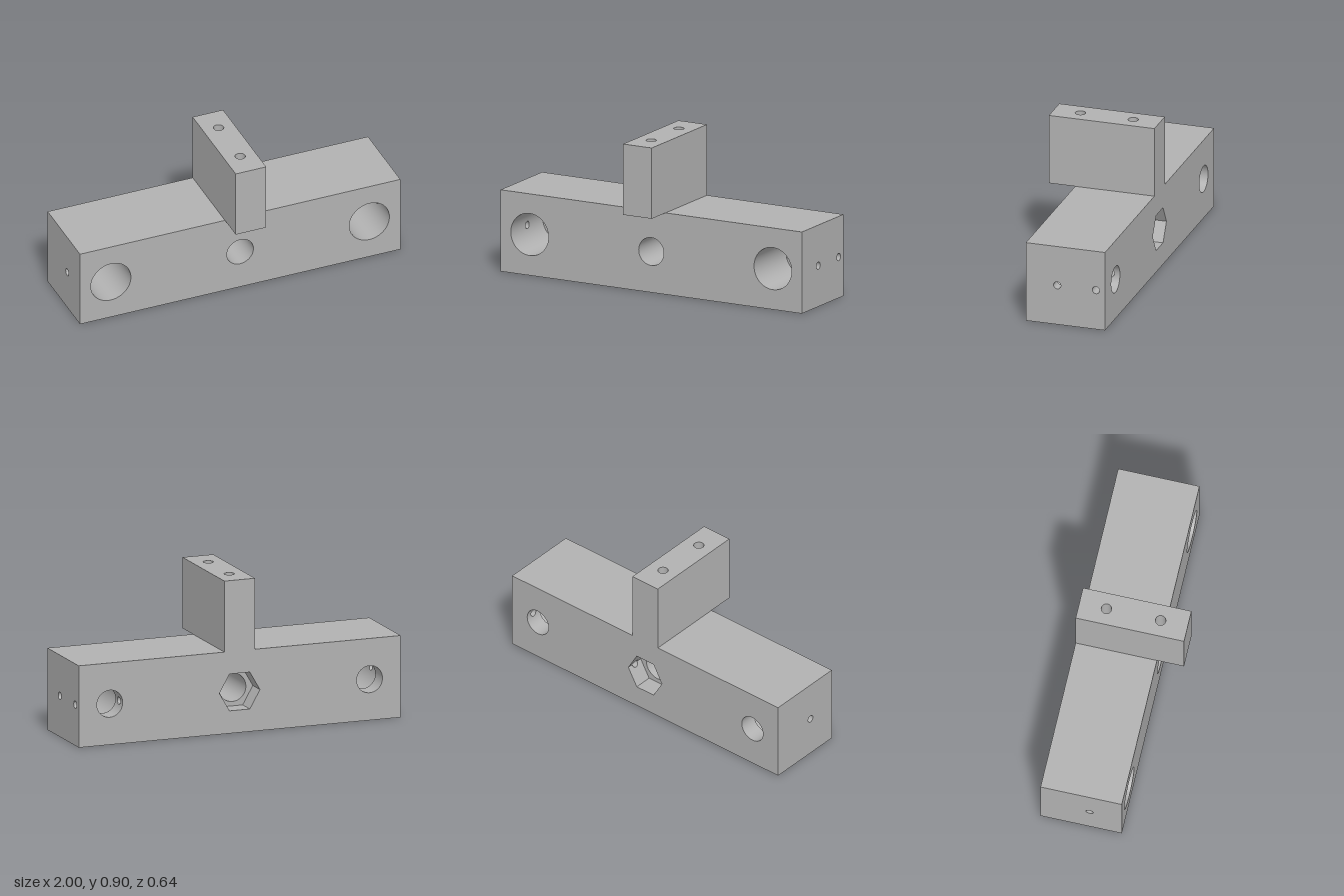
import * as THREE from 'three';

const H = 0.484, CY = 0.2425;               // block height, bore axis height
const ZB = -0.32, ZS = -0.21, ZF = 0.16;    // back, step and front planes
const BX = 0.807, BOLT = 0.08, CBORE = 0.125, MID = 0.083, HEX = 0.126;
const DRILL = 0.022, Z_REAR = -0.265, Z_FRONT = -0.03;
const N = 48, TAU = Math.PI * 2;

const steel = new THREE.MeshStandardMaterial({ color: 0xb2b2b2, side: THREE.DoubleSide });
steel.name = 'plain grey';

function add(parent, name, geo, x = 0, y = 0, z = 0) {
  const m = new THREE.Mesh(geo, steel);
  m.name = name;
  m.position.set(x, y, z);
  parent.add(m);
  return m;
}

// surface through rows of [x, y, z] points
function grid(rows, closed, flip) {
  const n = rows[0].length, idx = [];
  for (let i = 0; i < rows.length - 1; i++) {
    for (let j = 0; j < (closed ? n : n - 1); j++) {
      const k = (j + 1) % n;
      const a = i * n + j, b = a + n, c = i * n + k, d = c + n;
      if (flip) idx.push(a, c, b, b, c, d);
      else idx.push(a, b, c, b, d, c);
    }
  }
  const g = new THREE.BufferGeometry();
  g.setAttribute('position', new THREE.Float32BufferAttribute(rows.flat(2), 3));
  g.setIndex(idx);
  g.computeVertexNormals();
  return g;
}

// exact inward normals for a piece of cylinder wall around the z axis
function inwardNormals(g) {
  const p = g.attributes.position, nor = g.attributes.normal;
  for (let i = 0; i < p.count; i++) {
    const l = Math.hypot(p.getX(i), p.getY(i));
    nor.setXYZ(i, -p.getX(i) / l, -p.getY(i) / l, 0);
  }
  return g;
}

function flat(g) {
  const f = g.toNonIndexed();
  f.computeVertexNormals();
  return f;
}

const roundX = r => y => Math.sqrt(Math.max(0, r * r - y * y));
const hexX = y => HEX - Math.abs(y) / Math.sqrt(3);

// wall patch on one side of a bore, pierced by a round cross hole
function piercedPatch(xOf, h, z0, z1, zc, side) {
  const rows = [];
  for (let i = 0; i <= 6; i++) {
    const t = i / 6, row = [];
    for (let j = 0; j < N; j++) {
      const s = Math.sin(TAU * j / N), c = Math.cos(TAU * j / N);
      const m = Math.max(Math.abs(s), Math.abs(c));
      const y = THREE.MathUtils.lerp(DRILL * s, h * s / m, t);
      const z = THREE.MathUtils.lerp(DRILL * c, (c > 0 ? z1 - zc : zc - z0) * c / m, t);
      row.push([side * xOf(y), y, zc + z]);
    }
    rows.push(row);
  }
  return grid(rows, true, side < 0);
}

// round bore wall, with optional cross holes on the +x / -x sides
function bore(parent, name, cx, r, z0, z1, sides = [], zc = 0) {
  const g = new THREE.Group();
  g.name = name;
  g.position.set(cx, CY, 0);
  parent.add(g);
  const a = Math.PI / 6;
  const arc = (from, to) => {
    const row = z => Array.from({ length: 33 }, (_, i) => {
      const t = from + (to - from) * i / 32;
      return [r * Math.cos(t), r * Math.sin(t), z];
    });
    add(g, 'boreWall', inwardNormals(grid([row(z0), row(z1)], false)));
  };
  arc(a, Math.PI - a);
  arc(Math.PI + a, TAU - a);
  for (const s of [1, -1]) {
    if (sides.includes(s)) {
      add(g, 'piercedWall', inwardNormals(piercedPatch(roundX(r), r * Math.sin(a), z0, z1, zc, s)));
    } else {
      const mid = s > 0 ? 0 : Math.PI;
      arc(mid - a, mid + a);
    }
  }
}

// cross-drilled tube along x between two end surfaces, lower x first
function drill(parent, name, x0, x1, z) {
  const loop = f => Array.from({ length: N }, (_, j) => {
    const y = DRILL * Math.sin(TAU * j / N);
    return [f(y), y, z + DRILL * Math.cos(TAU * j / N)];
  });
  add(parent, name, grid([loop(x0), loop(x1)], true, true), 0, CY, 0);
}

const circle = (x, y, r) => new THREE.Path().absarc(x, y, r, 0, TAU, true);
const hexPoints = Array.from({ length: 6 }, (_, i) =>
  new THREE.Vector2(HEX * Math.cos(TAU * i / 6), HEX * Math.sin(TAU * i / 6)));
const hexAt = y => hexPoints.map(p => new THREE.Vector2(p.x, p.y + y));

function rectShape(x0, y0, x1, y1, holes = []) {
  const s = new THREE.Shape([[x0, y0], [x1, y0], [x1, y1], [x0, y1]].map(p => new THREE.Vector2(...p)));
  s.holes.push(...holes);
  return s;
}

export function createModel() {
  const model = new THREE.Group();
  model.name = 'mountingBlock';
  const block = new THREE.Group();
  block.name = 'crossBlock';
  model.add(block);

  // outer faces of the block
  const face = (name, shape) => new THREE.ShapeGeometry(shape, 32);
  add(block, 'frontFace', face('front', rectShape(-1, 0, 1, H,
    [circle(-BX, CY, CBORE), circle(0, CY, MID), circle(BX, CY, CBORE)])), 0, 0, ZF);
  add(block, 'backFace', face('back', rectShape(-1, 0, 1, H,
    [circle(-BX, CY, BOLT), new THREE.Path(hexAt(CY)), circle(BX, CY, BOLT)])).rotateY(Math.PI), 0, 0, ZB);
  add(block, 'leftEnd', face('left', rectShape(-ZF, 0, -ZB, H,
    [circle(-Z_FRONT, CY, DRILL), circle(-Z_REAR, CY, DRILL)])).rotateY(Math.PI / 2), 1);
  add(block, 'rightEnd', face('right', rectShape(ZB, 0, ZF, H,
    [circle(Z_FRONT, CY, DRILL)])).rotateY(-Math.PI / 2), -1);
  const zc = (ZB + ZF) / 2;
  add(block, 'topFace', new THREE.PlaneGeometry(2, ZF - ZB).rotateX(-Math.PI / 2), 0, H, zc);
  add(block, 'bottomFace', new THREE.PlaneGeometry(2, ZF - ZB).rotateX(Math.PI / 2), 0, 0, zc);

  // counterbored bolt holes
  for (const s of [-1, 1]) {
    bore(block, 'counterbore', s * BX, CBORE, ZS, ZF, [s], Z_FRONT);
    bore(block, 'boltHole', s * BX, BOLT, ZB, ZS, s > 0 ? [1, -1] : [], Z_REAR);
    add(block, 'counterboreStep', new THREE.RingGeometry(BOLT, CBORE, 64), s * BX, CY, ZS);
  }

  // centre hole with a hexagonal nut pocket at the back
  bore(block, 'centreHole', 0, MID, ZS, ZF);
  const floor = new THREE.Shape(hexPoints);
  floor.holes.push(circle(0, 0, MID));
  add(block, 'nutPocketFloor', new THREE.ShapeGeometry(floor, 32).rotateY(Math.PI), 0, CY, ZS);
  const hexRow = z => [1, 2, 3, 4, 5].map(i => [hexPoints[i].x, hexPoints[i].y, z]);
  add(block, 'nutPocketWall', flat(grid([hexRow(ZB), hexRow(ZS)], false)), 0, CY, 0);
  add(block, 'nutPocketPiercedWall',
    flat(piercedPatch(hexX, HEX * Math.sqrt(3) / 2, ZB, ZS, Z_REAR, 1)), 0, CY, 0);

  // small cross-drilled holes
  const bx = roundX(BOLT), cb = roundX(CBORE);
  drill(block, 'leftFrontDrill', y => BX + cb(y), () => 1, Z_FRONT);
  drill(block, 'rightFrontDrill', () => -1, y => -BX - cb(y), Z_FRONT);
  drill(block, 'leftRearDrill', y => BX + bx(y), () => 1, Z_REAR);
  drill(block, 'innerRearDrill', hexX, y => BX - bx(y), Z_REAR);

  // upright fin with two blind holes in its top
  const fin = new THREE.Group();
  fin.name = 'uprightFin';
  model.add(fin);
  const top = 0.904, deep = 0.22, w = 0.095;
  add(fin, 'finBase', new THREE.BoxGeometry(2 * w, top - deep - H, 0.64), 0, (top - deep + H) / 2, 0);
  const drilled = rectShape(-w, -0.32, w, 0.32, [circle(0, -0.16, 0.03), circle(0, 0.16, 0.03)]);
  add(fin, 'finDrilledTop', new THREE.ExtrudeGeometry(drilled,
    { depth: deep, bevelEnabled: false, curveSegments: 32 }).rotateX(-Math.PI / 2), 0, top - deep, 0);

  return model;
}
